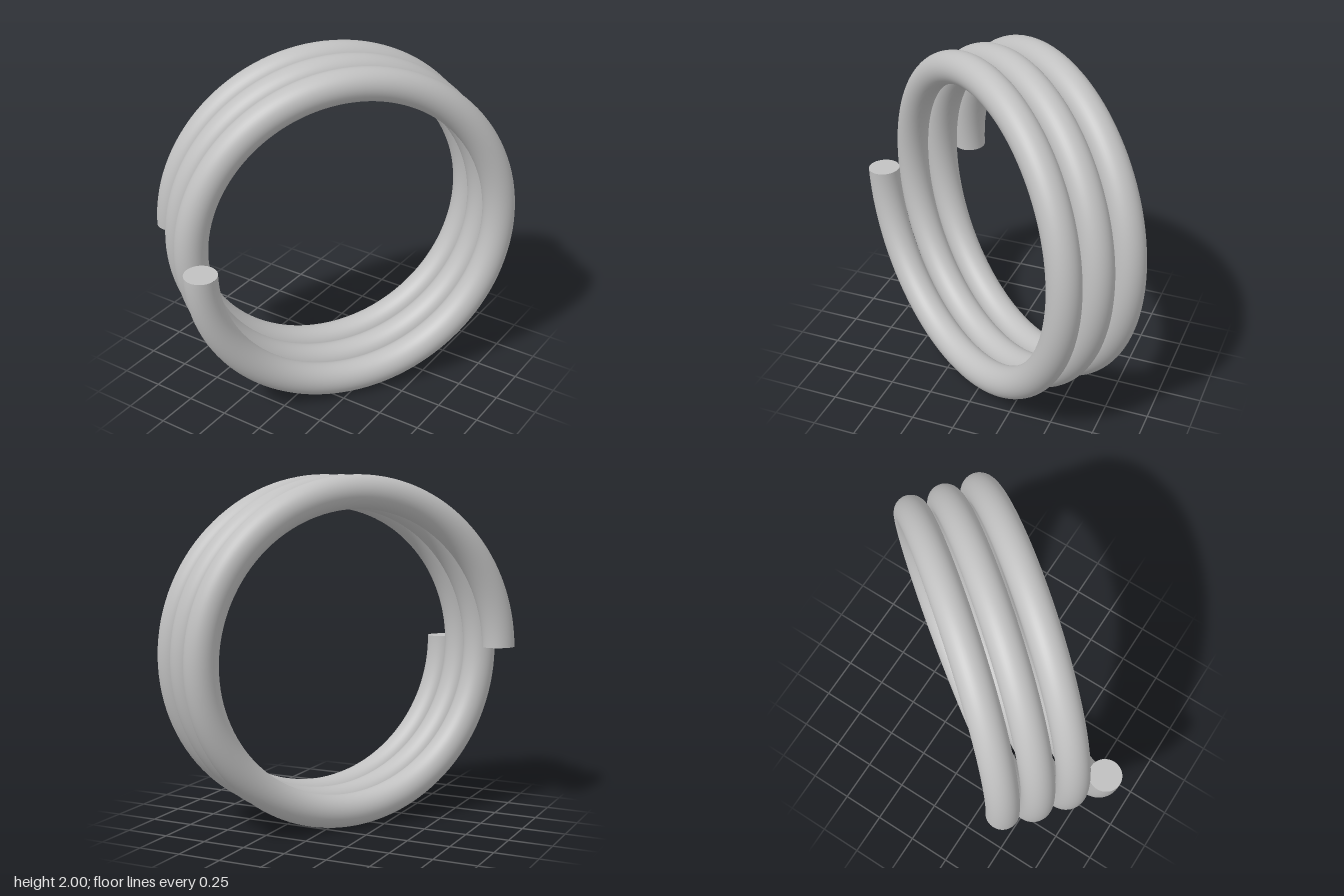
import * as THREE from 'three';

const RING = 0.906, WIRE = 0.094, TURNS = 3, PITCH = 0.204;
const CENTRE = new THREE.Vector3(0.038, 1, -0.034);
const AXIS = new THREE.Vector3(0.8, 0, 0.6);      // coil axis, lying level
const SIDE = new THREE.Vector3(-0.6, 0, 0.8);     // level, across the axis

// Helix that starts level with the axis and dips down first
class Helix extends THREE.Curve {
  getPoint(t, target = new THREE.Vector3()) {
    const a = t * TURNS * Math.PI * 2;
    target.copy(CENTRE)
      .addScaledVector(SIDE, RING * Math.cos(a))
      .addScaledVector(AXIS, PITCH * TURNS * (0.5 - t));
    target.y -= RING * Math.sin(a);
    return target;
  }
}

export function createModel() {
  const group = new THREE.Group();
  group.name = 'coilSpring';
  const steel = new THREE.MeshStandardMaterial({ color: 0xc0c0c0 });
  steel.name = 'steel grey';

  // Coiled wire
  const helix = new Helix();
  helix.arcLengthDivisions = 600;
  const wire = new THREE.Mesh(new THREE.TubeGeometry(helix, 360, WIRE, 40, false), steel);
  wire.name = 'coil';
  group.add(wire);

  // Flat caps on the two cut ends
  for (const [name, t, sign] of [['frontEndCap', 0, -1], ['rearEndCap', 1, 1]]) {
    const cap = new THREE.Mesh(new THREE.CircleGeometry(WIRE, 40), steel);
    const outward = helix.getTangent(t).multiplyScalar(sign);
    cap.quaternion.setFromUnitVectors(new THREE.Vector3(0, 0, 1), outward);
    cap.position.copy(helix.getPoint(t));
    cap.name = name;
    group.add(cap);
  }
  return group;
}
